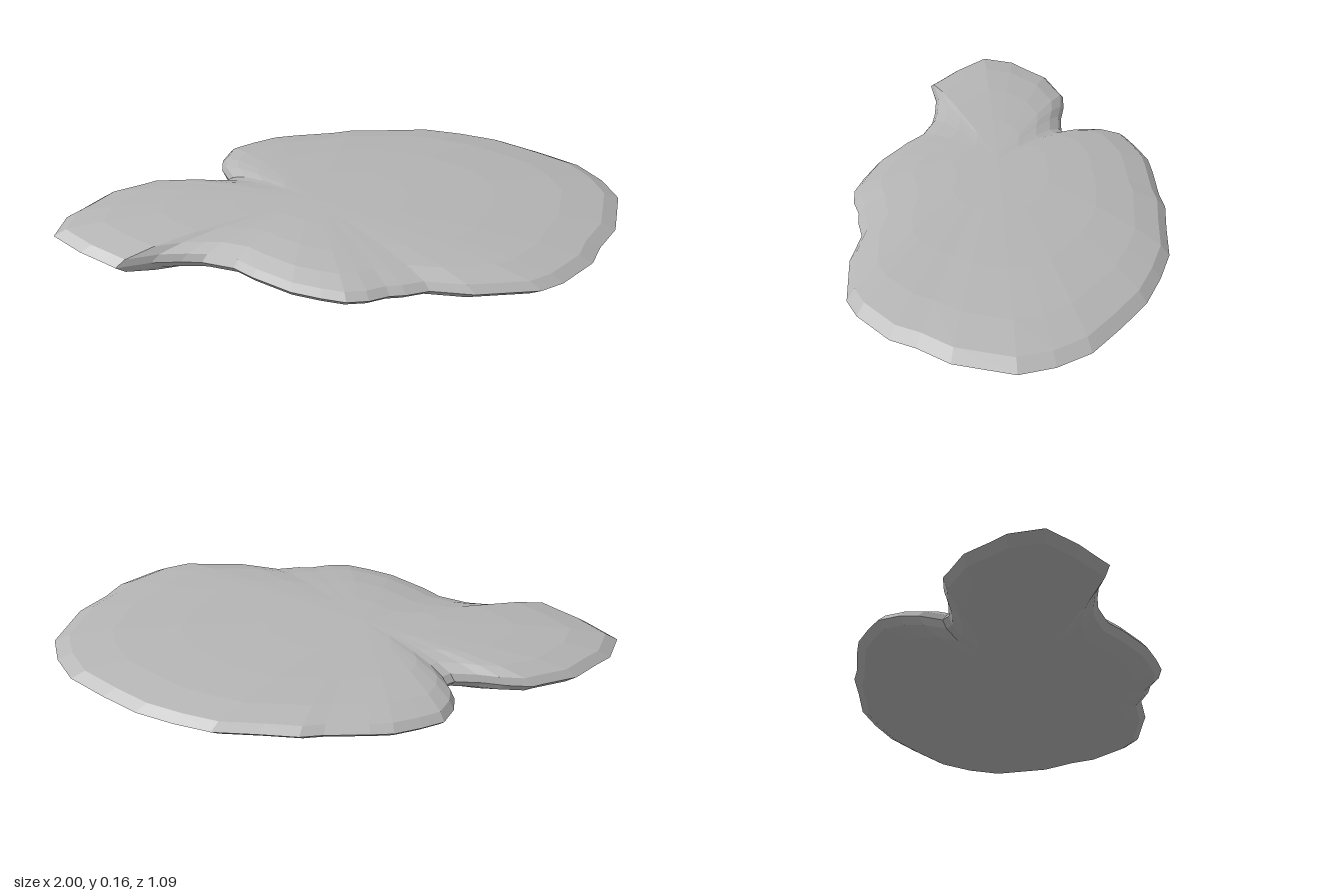
import * as THREE from 'three';

// Rim outline as [x, z], running once round the slab
const OUTLINE = [
  [1, 0.01], [0.97, -0.11], [0.905, -0.225], [0.78, -0.33], [0.66, -0.42], [0.53, -0.48],
  [0.4, -0.525], [0.24, -0.535], [0.11, -0.547], [0.03, -0.535], [-0.12, -0.53], [-0.2, -0.523],
  [-0.29, -0.49], [-0.365, -0.455], [-0.4, -0.385], [-0.405, -0.32], [-0.38, -0.24], [-0.41, -0.22],
  [-0.505, -0.225], [-0.585, -0.24], [-0.675, -0.245], [-0.71, -0.23], [-0.83, -0.185], [-0.905, -0.11],
  [-0.96, -0.06], [-1, 0.055], [-0.905, 0.165], [-0.835, 0.225], [-0.785, 0.27], [-0.665, 0.25],
  [-0.565, 0.255], [-0.495, 0.265], [-0.39, 0.31], [-0.33, 0.37], [-0.21, 0.465], [-0.115, 0.51],
  [-0.035, 0.54], [0.04, 0.54], [0.11, 0.52], [0.165, 0.52], [0.245, 0.505], [0.39, 0.54],
  [0.61, 0.54], [0.69, 0.505], [0.815, 0.4], [0.86, 0.315], [0.94, 0.21],
];
const CENTRE = new THREE.Vector3(-0.1, 0.087, 0.03);
const HALF_HEIGHT = 0.081;
const BANDS = 10;

// Flattened ball whose every ring is a shrunken copy of the outline
function slabGeometry() {
  const n = OUTLINE.length;
  const positions = [];
  const index = [];
  for (let j = 0; j <= BANDS; j++) {
    const a = (j / BANDS) * Math.PI;
    const s = Math.sin(a);
    for (const [x, z] of OUTLINE) {
      positions.push(
        CENTRE.x + (x - CENTRE.x) * s,
        CENTRE.y + Math.cos(a) * HALF_HEIGHT,
        CENTRE.z + (z - CENTRE.z) * s,
      );
    }
  }
  for (let j = 0; j < BANDS; j++) {
    for (let i = 0; i < n; i++) {
      const k = (i + 1) % n;
      const a = j * n + i, b = j * n + k, c = a + n, d = b + n;
      if (j > 0) index.push(a, d, b);
      if (j < BANDS - 1) index.push(a, c, d);
      // the pole bands need just one triangle per side
    }
  }
  const geometry = new THREE.BufferGeometry();
  geometry.setAttribute('position', new THREE.Float32BufferAttribute(positions, 3));
  geometry.setIndex(index);
  geometry.computeVertexNormals();
  return geometry;
}

export function createModel() {
  const stone = new THREE.MeshStandardMaterial({ color: 0xb4b4b4, flatShading: true });
  stone.name = 'stone grey';
  const slab = new THREE.Mesh(slabGeometry(), stone);
  slab.name = 'flatStone';
  const model = new THREE.Group();
  model.name = 'steppingStone';
  model.add(slab);
  return model;
}
